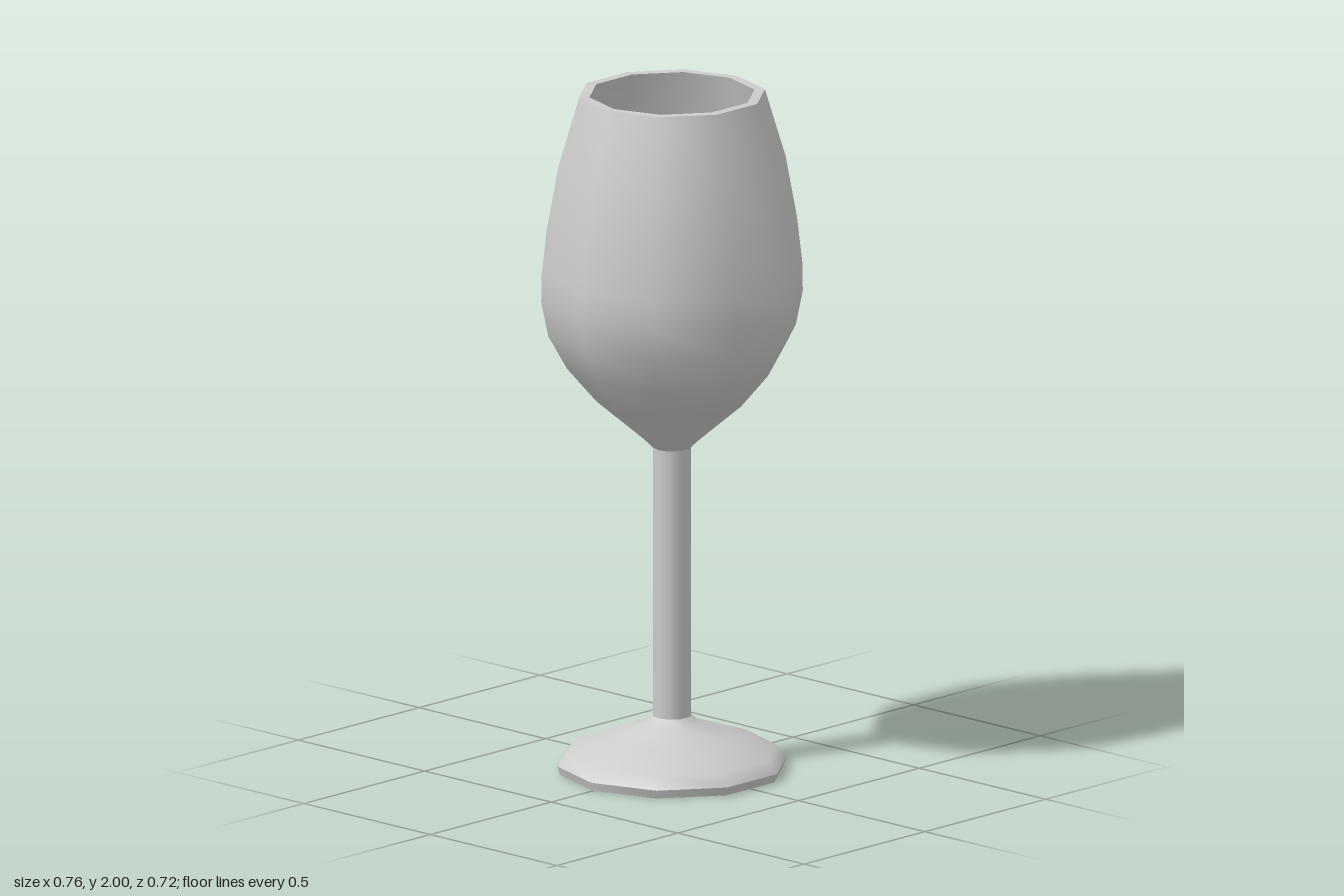
import * as THREE from 'three';

const SIDES = 10;
const material = new THREE.MeshStandardMaterial({ color: 0xcccccc });

// Ten-sided turned part with a corner on +x; profile is [radius, height] pairs
function turned(name, profile) {
  const points = profile.map(([r, y]) => new THREE.Vector2(r, y));
  const geometry = new THREE.LatheGeometry(points, SIDES);
  geometry.rotateY(Math.PI / 2);
  const mesh = new THREE.Mesh(geometry, material);
  mesh.name = name;
  return mesh;
}

export function createModel() {
  const glass = new THREE.Group();
  glass.name = 'wineGlass';

  // Foot: slightly hollow underside, thin edge band, sloping top
  const foot = new THREE.Group();
  foot.name = 'foot';
  foot.add(
    turned('footUnderside', [[0, 0.02], [0.12, 0.015], [0.325, 0]]),
    turned('footEdge', [[0.325, 0], [0.333, 0.025]]),
    turned('footTop', [[0.333, 0.025], [0.305, 0.06], [0.19, 0.103], [0.085, 0.138], [0.055, 0.162]])
  );

  // Stem
  const stem = turned('stem', [[0.055, 0.162], [0.055, 0.955]]);

  // Bowl: outer wall, flat rim and inner wall, kept apart for sharp rim edges
  const bowl = new THREE.Group();
  bowl.name = 'bowl';
  bowl.add(
    turned('bowlOuter', [
      [0.055, 0.955], [0.08, 0.98], [0.22, 1.1], [0.305, 1.2], [0.36, 1.3], [0.38, 1.4],
      [0.379, 1.48], [0.363, 1.62], [0.33, 1.8], [0.27, 2]
    ]),
    turned('bowlRim', [[0.27, 2], [0.24, 2]]),
    turned('bowlInner', [
      [0.24, 2], [0.3, 1.8], [0.333, 1.62], [0.349, 1.48], [0.35, 1.4], [0.331, 1.31],
      [0.28, 1.22], [0.2, 1.13], [0.05, 1.0]
    ]),
    turned('bowlFloor', [[0.05, 1.0], [0, 1.0]])
  );

  glass.add(foot, stem, bowl);
  return glass;
}
